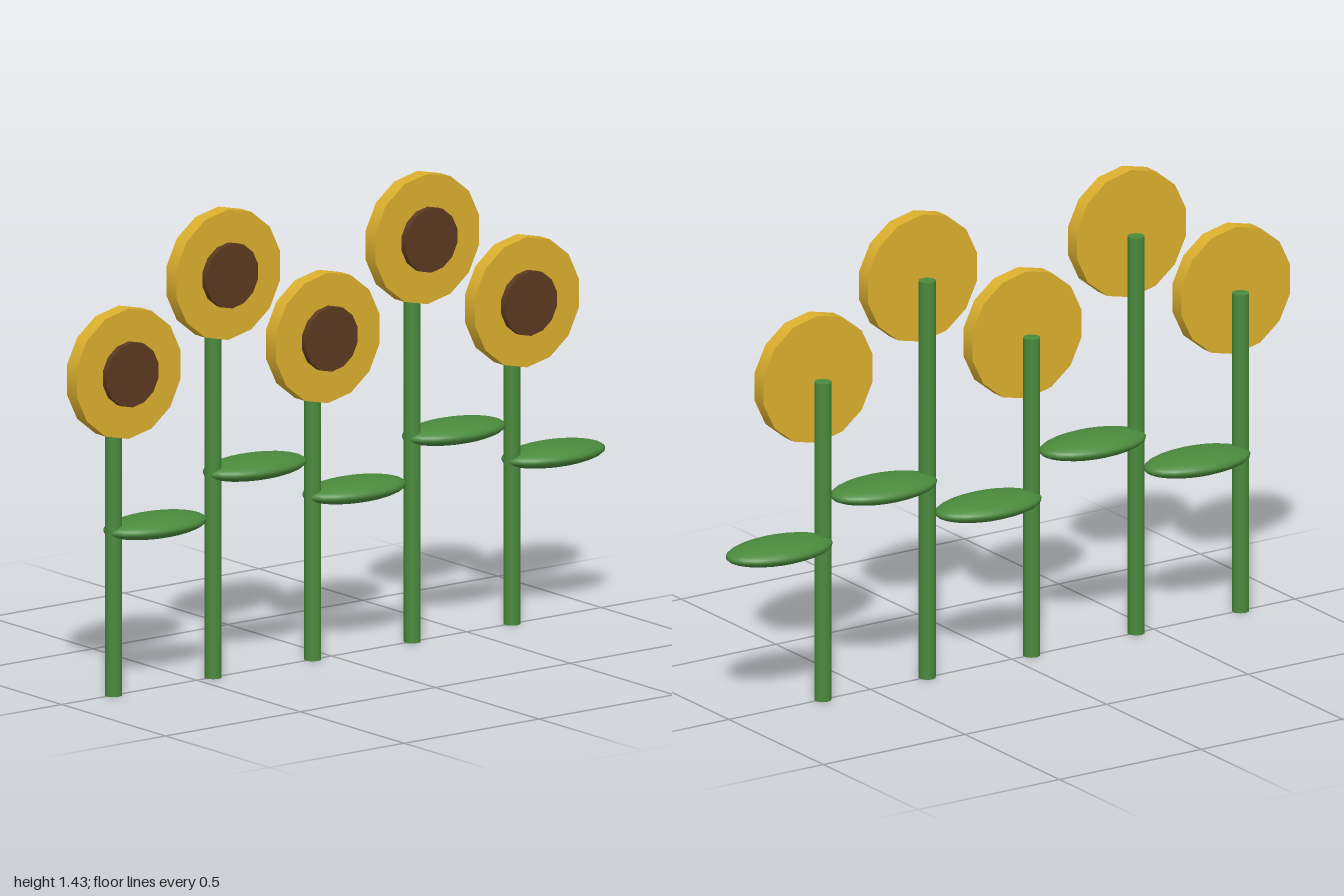
import * as THREE from 'three';

const mat = (name, color) => {
  const m = new THREE.MeshStandardMaterial({ color });
  m.name = name;
  return m;
};

export function createModel() {
  const green = mat('leaf green', 0x4a8a3c);
  const yellow = mat('petal yellow', 0xdcb02e);
  const brown = mat('seed brown', 0x5c3a21);

  // Discs face the front (+z)
  const petalGeo = new THREE.CylinderGeometry(0.197, 0.197, 0.048, 14).rotateX(Math.PI / 2);
  const seedGeo = new THREE.CylinderGeometry(0.098, 0.098, 0.04, 14).rotateX(Math.PI / 2);
  const leafGeo = new THREE.SphereGeometry(1, 24, 16).scale(0.178, 0.0345, 0.098);

  const model = new THREE.Group();
  model.name = 'sunflowerRow';

  const add = (parent, name, geometry, material, x, y, z) => {
    const mesh = new THREE.Mesh(geometry, material);
    mesh.name = name;
    mesh.position.set(x, y, z);
    parent.add(mesh);
  };

  // Five flowers, alternating short and tall
  for (let i = 0; i < 5; i++) {
    const height = i % 2 ? 1.23 : 0.985;
    const flower = new THREE.Group();
    flower.name = 'sunflower' + (i + 1);
    flower.position.x = -0.808 + i * 0.369;

    const stemGeo = new THREE.CylinderGeometry(0.026, 0.026, height, 10);
    add(flower, 'stem', stemGeo, green, 0, height / 2, 0);
    add(flower, 'leaf', leafGeo, green, 0.154, height / 2, 0);
    add(flower, 'petalDisc', petalGeo, yellow, 0, height, 0.049);
    add(flower, 'seedCentre', seedGeo, brown, 0, height, 0.073);
    model.add(flower);
  }
  return model;
}
